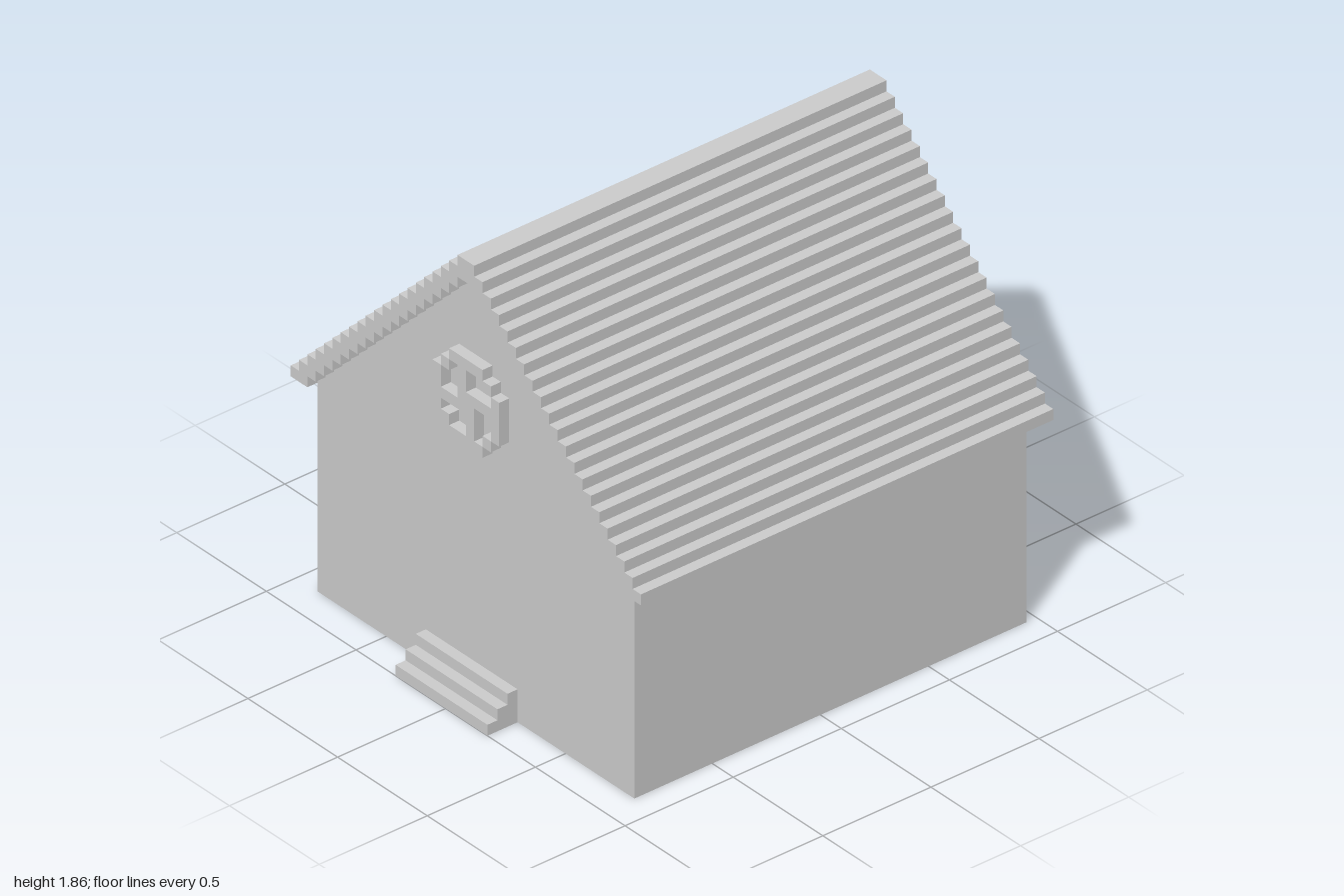
import * as THREE from 'three';

const U = 2 / 43; // size of one block; all numbers below are in blocks
const material = new THREE.MeshStandardMaterial({ color: 0xcccccc, flatShading: true });

function addBox(parent, name, [x0, x1], [y0, y1], [z0, z1]) {
  const mesh = new THREE.Mesh(new THREE.BoxGeometry(x1 - x0, y1 - y0, z1 - z0), material);
  mesh.position.set((x0 + x1) / 2, (y0 + y1) / 2, (z0 + z1) / 2);
  mesh.name = name;
  parent.add(mesh);
}

function addExtrusion(parent, name, points, z0, z1) {
  const shape = new THREE.Shape(points);
  const geometry = new THREE.ExtrudeGeometry(shape, { depth: z1 - z0, bevelEnabled: false });
  const mesh = new THREE.Mesh(geometry, material);
  mesh.position.z = z0;
  mesh.name = name;
  parent.add(mesh);
}

// Stair line from the right eave over the ridge to the left eave
function gableStairs(halfWidth, baseY) {
  const right = [];
  for (let k = 0; k < halfWidth; k++) {
    right.push([halfWidth - k, baseY + k], [halfWidth - k, baseY + k + 1]);
  }
  const left = right.map(([x, y]) => [-x, y]).reverse();
  return [...right, ...left].map(([x, y]) => new THREE.Vector2(x, y));
}

export function createModel() {
  const house = new THREE.Group();
  house.name = 'house';
  house.scale.setScalar(U);

  addBox(house, 'walls', [-19, 19], [0, 19], [-20.5, 18.5]);

  // Stepped roof, solid through to the back gable, with an overhanging front edge
  const outer = gableStairs(21, 19);
  addExtrusion(house, 'roof', outer, -21.5, 18.5);
  addExtrusion(house, 'roofFrontEdge', [...outer, ...gableStairs(19, 19).reverse()], 18.5, 19.5);

  // Front steps
  const steps = new THREE.Group();
  steps.name = 'frontSteps';
  house.add(steps);
  for (let i = 0; i < 3; i++) {
    addBox(steps, 'step', [-6, 5], [0, 3 - i], [18.5 + i, 19.5 + i]);
  }

  // Round window: ring pieces and pinwheel bars, made in pairs by a half turn
  const gableWindow = new THREE.Group();
  gableWindow.name = 'gableWindow';
  gableWindow.position.set(0, 27, 0);
  house.add(gableWindow);
  const pieces = [
    ['windowRim', [-2, 2], [3, 4]],
    ['windowRim', [3, 4], [-2, 2]],
    ['windowRimCorner', [2, 3], [2, 3]],
    ['windowRimCorner', [-3, -2], [2, 3]],
    ['windowBar', [-1, 0], [0, 3]],
    ['windowBar', [0, 3], [0, 1]],
  ];
  for (const [name, x, y] of pieces) {
    addBox(gableWindow, name, x, y, [18.5, 19.5]);
    addBox(gableWindow, name, [-x[1], -x[0]], [-y[1], -y[0]], [18.5, 19.5]);
  }

  const model = new THREE.Group();
  model.add(house);
  return model;
}
